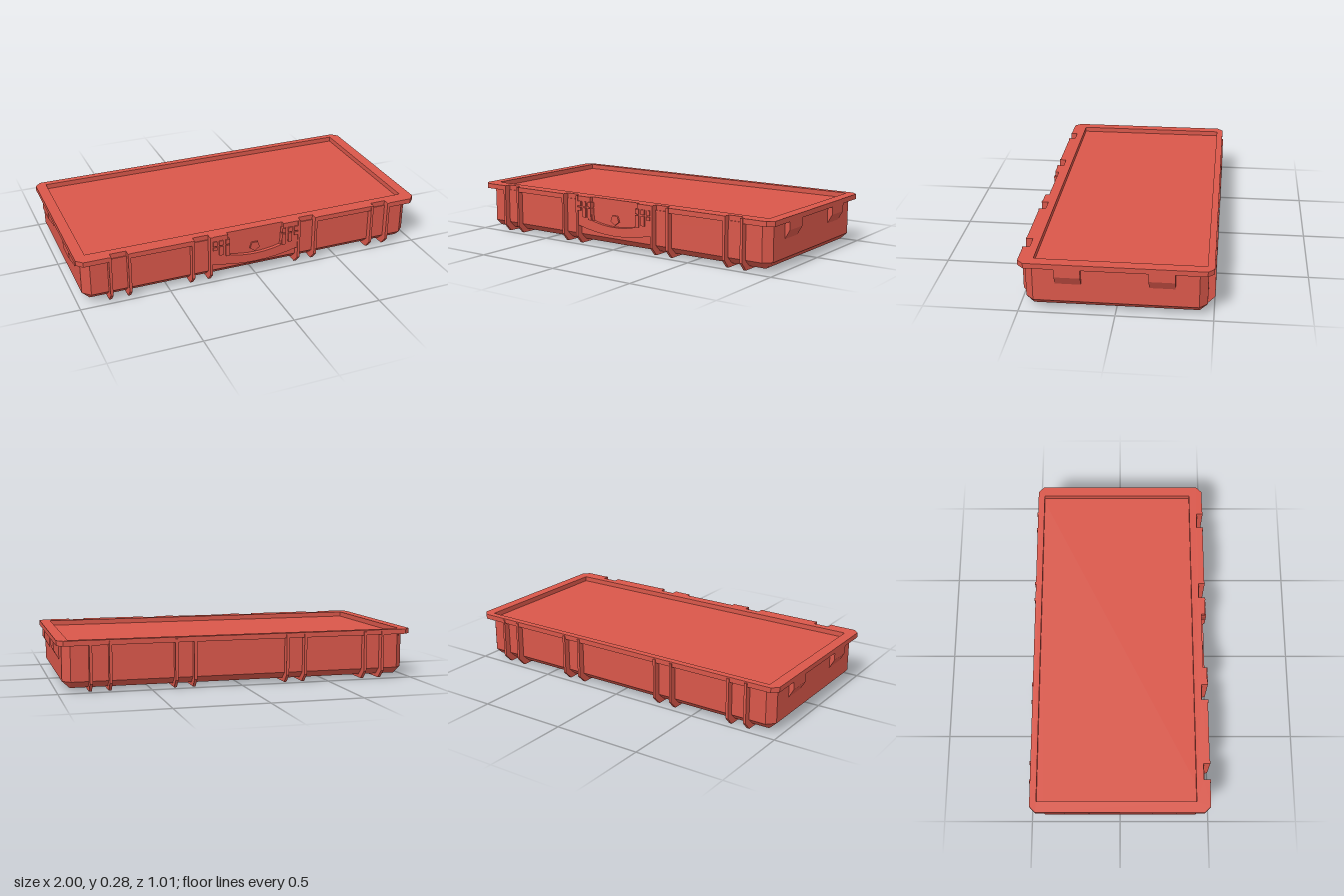
import * as THREE from 'three';

const casePlastic = new THREE.MeshStandardMaterial({ color: 0xd9574a });
casePlastic.name = 'red plastic';

// Eight-cornered outline: a rectangle with cut corners
function outline(hx, hz, c) {
  return [[hx, hz - c], [hx - c, hz], [c - hx, hz], [-hx, hz - c],
    [-hx, c - hz], [c - hx, -hz], [hx - c, -hz], [hx, c - hz]];
}

// Closed solid through outlines stacked upwards, given as [y, hx, hz, cut]
function loft(sections) {
  const pos = [], idx = [], n = 8, last = (sections.length - 1) * n;
  for (const [y, hx, hz, c] of sections)
    for (const [x, z] of outline(hx, hz, c)) pos.push(x, y, z);
  for (let s = 0; s < last; s += n)
    for (let i = 0; i < n; i++) {
      const a = s + i, b = s + (i + 1) % n;
      idx.push(a, a + n, b, b, a + n, b + n);
    }
  for (let i = 1; i < n - 1; i++)
    idx.push(0, i, i + 1, last, last + i + 1, last + i);
  const g = new THREE.BufferGeometry();
  g.setAttribute('position', new THREE.Float32BufferAttribute(pos, 3));
  g.setIndex(idx);
  const flat = g.toNonIndexed();
  flat.computeVertexNormals();
  return flat;
}

const shapeOf = pts => new THREE.Shape(pts.map(p => new THREE.Vector2(...p)));
const extrude = (shape, depth) =>
  new THREE.ExtrudeGeometry(shape, { depth, bevelEnabled: false, curveSegments: 8 });

// Horizontal ring around the recess, drawn in x and z
function ring(pts, y0, y1) {
  const shape = shapeOf(pts);
  shape.holes.push(new THREE.Path([[-0.94, -0.46], [-0.94, 0.42], [0.94, 0.42], [0.94, -0.46]]
    .map(p => new THREE.Vector2(...p))));
  return extrude(shape, y1 - y0).rotateX(Math.PI / 2).translate(0, y1, 0);
}

export function createModel() {
  const group = new THREE.Group();
  const add = (name, geometry) => {
    const mesh = new THREE.Mesh(geometry, casePlastic);
    mesh.name = name;
    group.add(mesh);
    return mesh;
  };
  const box = (name, x0, x1, y0, y1, z0, z1) =>
    add(name, new THREE.BoxGeometry(x1 - x0, y1 - y0, z1 - z0)
      .translate((x0 + x1) / 2, (y0 + y1) / 2, (z0 + z1) / 2));

  // Shell with a bevelled foot; its top is the recessed floor
  const floorY = 0.235, rimY = 0.25, topY = 0.278;
  add('shell', loft([[0.018, 0.93, 0.427, 0.0005], [0.055, 0.97, 0.467, 0.042],
    [floorY, 0.97, 0.467, 0.042]]));
  add('shellEdge', ring(outline(0.97, 0.467, 0.042), floorY, rimY));

  // Rim, with gaps in the front edge between paired ribs and at the handle
  const hx = 1, hz = 0.497, c = 0.033;
  const rim = [[hx, hz - c], [hx - c, hz]];
  const gaps = [[0.818, 0.727, 0.462], [0.358, 0.267, 0.462], [0.165, -0.165, 0.475],
    [-0.267, -0.358, 0.462], [-0.727, -0.818, 0.462]];
  for (const [a, b, z] of gaps) rim.push([a, hz], [a, z], [b, z], [b, hz]);
  rim.push([c - hx, hz], [-hx, hz - c], [-hx, c - hz], [c - hx, -hz], [hx - c, -hz], [hx, c - hz]);
  add('rim', ring(rim, rimY, topY));

  // Ribs wrapping the front, underside and back
  const ribShape = shapeOf([[-0.503, 0.27], [-0.503, 0.045], [-0.46, 0], [0.46, 0], [0.5, 0.045],
    [0.5, topY], [0.46, topY], [0.46, 0.2], [-0.462, 0.2], [-0.462, 0.27]]);
  const ribWidth = 0.015;
  for (const side of [-1, 1])
    for (const x of [0.261, 0.365, 0.72, 0.825])
      add('rib', extrude(ribShape, ribWidth).rotateY(-Math.PI / 2)
        .translate(side * x + ribWidth / 2, 0, 0));

  // Wedge-bottomed blocks under the rim at both ends
  const blockShape = shapeOf([[0.96, 0.152], [0.97, 0.155], [0.998, 0.205], [0.998, rimY], [0.96, rimY]]);
  for (const z of [0.242, -0.237]) {
    const block = extrude(blockShape, 0.134).translate(0, 0, -0.067);
    add('leftEndBlock', block).position.z = z;
    const right = add('rightEndBlock', block);
    right.position.z = z;
    right.rotation.y = Math.PI;
  }

  // Front handle: U-shaped plate with a curved lower band
  const handle = new THREE.Shape();
  handle.moveTo(-0.255, 0.25);
  handle.lineTo(-0.255, 0.11);
  handle.quadraticCurveTo(0, 0.042, 0.255, 0.11);
  handle.lineTo(0.255, 0.25);
  handle.lineTo(0.165, 0.25);
  handle.lineTo(0.15, 0.145);
  handle.quadraticCurveTo(0, 0.107, -0.15, 0.145);
  handle.lineTo(-0.165, 0.25);
  add('handle', extrude(handle, 0.035).translate(0, 0, 0.46));
  box('handleBacking', -0.165, 0.165, 0.11, topY, 0.46, 0.475);
  const button = new THREE.CylinderGeometry(0.03, 0.03, 0.012, 5).rotateX(Math.PI / 2);
  add('button', button.toNonIndexed()).position.set(0, 0.165, 0.479);

  // Grip slats on both sides of the handle, in two rows
  for (const side of [-1, 1])
    for (const [x, low, high] of [[0.241, 0.195, 0.25], [0.205, 0.16, 0.25], [0.167, 0.148, 0.25]]) {
      box('gripSlat', side * x - 0.011, side * x + 0.011, 0.222, high, 0.47, 0.503);
      box('gripSlat', side * x - 0.011, side * x + 0.011, low, 0.215, 0.47, 0.503);
    }
  return group;
}
